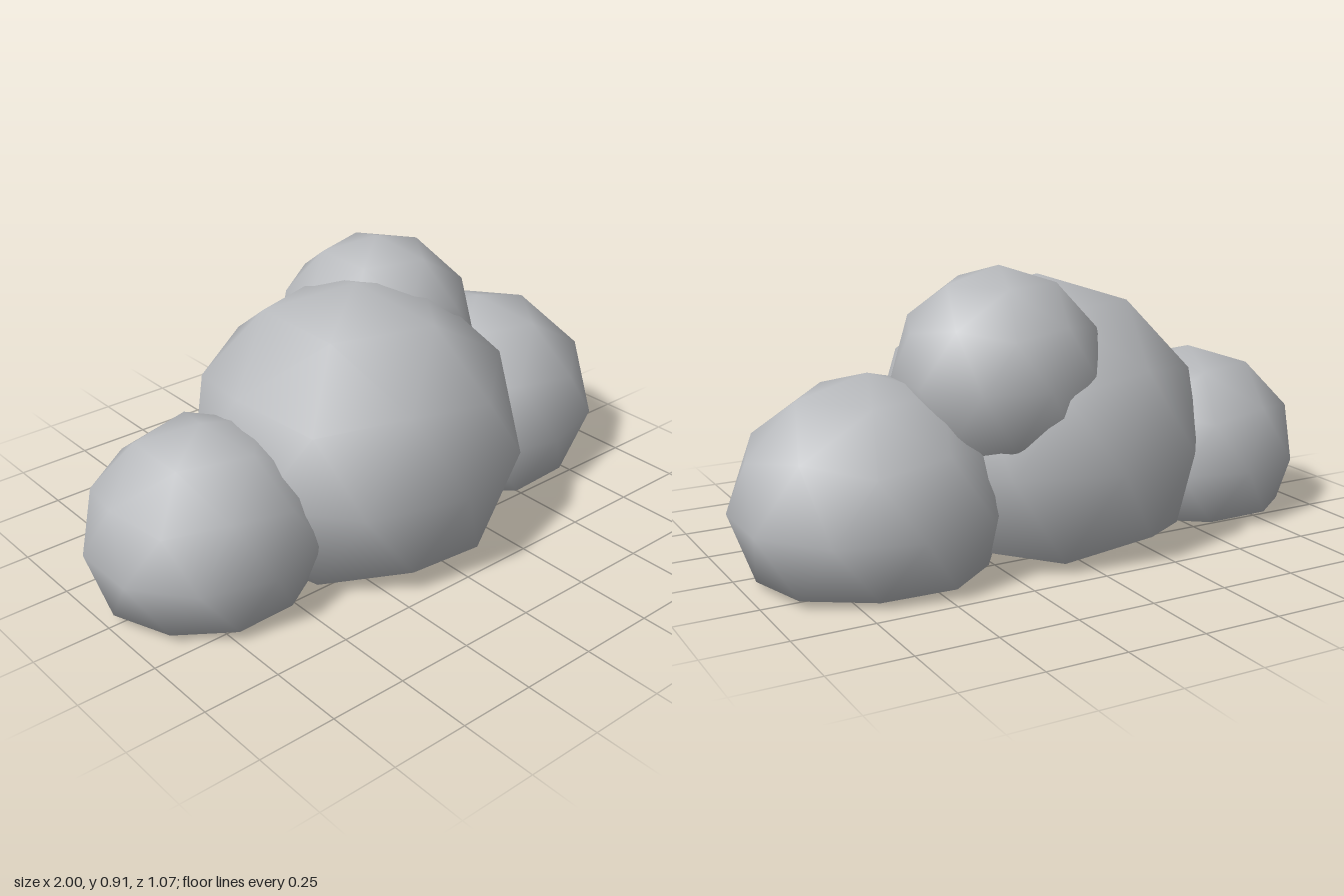
import * as THREE from 'three';
import { mergeVertices } from 'three/addons/utils/BufferGeometryUtils.js';

// Ball with a vertex at its pole, whose underside is pressed almost flat near the ground
function lobeGeometry(radius, stretchX, centre) {
  let geo = new THREE.IcosahedronGeometry(radius, 1);
  geo.deleteAttribute('normal');
  geo.deleteAttribute('uv');
  geo = mergeVertices(geo, 1e-4);
  geo.rotateX(-Math.atan2((1 + Math.sqrt(5)) / 2, 1));
  geo.rotateY(Math.PI / 2);
  geo.scale(stretchX, 1, 1);
  geo.translate(...centre);
  const floor = 0.03;
  const pos = geo.attributes.position;
  for (let i = 0; i < pos.count; i++) {
    const y = pos.getY(i);
    if (y < floor) pos.setY(i, floor + (y - floor) * 0.11);
  }
  geo.computeVertexNormals();
  return geo;
}

export function createModel() {
  const group = new THREE.Group();
  group.name = 'cloud';
  const grey = new THREE.MeshStandardMaterial({ color: 0xb8babd });
  grey.name = 'cloud grey';

  // name, radius, sideways stretch, centre
  const lobes = [
    ['mainPuff', 0.535, 1.03, [-0.04, 0.32, 0]],
    ['rightPuff', 0.365, 1.05, [-0.635, 0.2, -0.005]],
    ['leftPuff', 0.41, 1.05, [0.59, 0.205, -0.09]],
    ['topPuff', 0.333, 1, [0.18, 0.583, -0.153]],
  ];
  for (const [name, radius, stretch, centre] of lobes) {
    const mesh = new THREE.Mesh(lobeGeometry(radius, stretch, centre), grey);
    mesh.name = name;
    group.add(mesh);
  }
  return group;
}
